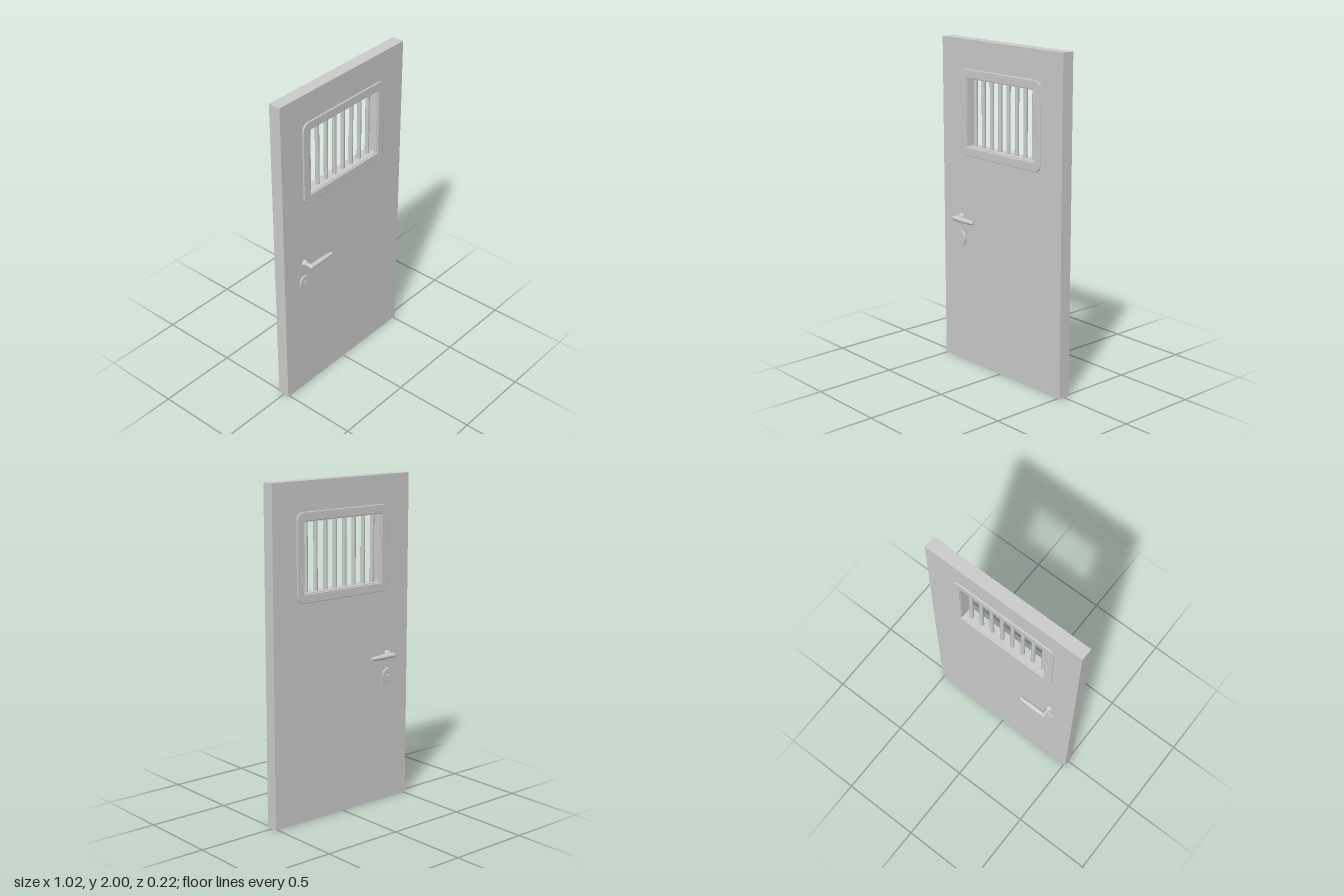
import * as THREE from 'three';

const material = new THREE.MeshStandardMaterial({ color: 0xcccccc });
const FACE = 0.0375; // half thickness of the door
const WINDOW_Y = 1.5675;
const LOCK_X = -0.348;

function add(parent, name, geometry, x = 0, y = 0, z = 0) {
  const mesh = new THREE.Mesh(geometry, material);
  mesh.name = name;
  mesh.position.set(x, y, z);
  parent.add(mesh);
  return mesh;
}

function roundedRect(path, w, h, r) {
  const x = w / 2, y = h / 2;
  path.moveTo(-x + r, -y);
  path.lineTo(x - r, -y).absarc(x - r, -y + r, r, -Math.PI / 2, 0, false);
  path.lineTo(x, y - r).absarc(x - r, y - r, r, 0, Math.PI / 2, false);
  path.lineTo(-x + r, y).absarc(-x + r, y - r, r, Math.PI / 2, Math.PI, false);
  path.lineTo(-x, -y + r).absarc(-x + r, -y + r, r, Math.PI, Math.PI * 1.5, false);
  return path;
}

function rect(path, x0, y0, x1, y1) {
  path.moveTo(x0, y0);
  path.lineTo(x1, y0);
  path.lineTo(x1, y1);
  path.lineTo(x0, y1);
  path.closePath();
  return path;
}

const lathe = (points) =>
  new THREE.LatheGeometry(points.map(([r, y]) => new THREE.Vector2(r, y)), 24);

// Door leaf with the window cut through it
function doorLeaf() {
  const shape = rect(new THREE.Shape(), -0.512, 0, 0.512, 2);
  shape.holes.push(rect(new THREE.Path(), -0.288, 1.365, 0.288, 1.77));
  return new THREE.ExtrudeGeometry(shape, { depth: FACE * 2, bevelEnabled: false })
    .translate(0, 0, -FACE);
}

// Raised rounded trim around the window
function windowTrim() {
  const shape = roundedRect(new THREE.Shape(), 0.678, 0.512, 0.042);
  shape.holes.push(roundedRect(new THREE.Path(), 0.592, 0.421, 0.008));
  return new THREE.ExtrudeGeometry(shape, {
    depth: 0.004, bevelThickness: 0.0035, bevelSize: 0.004, bevelSegments: 2, curveSegments: 8,
  });
}

// Oval keyhole cover with a keyhole opening
function keyholeCover() {
  const shape = new THREE.Shape().absellipse(0, 0, 0.037, 0.043, 0, Math.PI * 2);
  const hole = new THREE.Path();
  hole.moveTo(-0.003, -0.02);
  hole.lineTo(0.003, -0.02);
  hole.lineTo(0.004, 0.002);
  hole.absarc(0, 0.007, 0.0075, -0.9, Math.PI + 0.9, false);
  hole.lineTo(-0.003, -0.02);
  shape.holes.push(hole);
  return new THREE.ExtrudeGeometry(shape, {
    depth: 0.005, bevelThickness: 0.003, bevelSize: 0.003, bevelSegments: 3, curveSegments: 16,
  });
}

// Lever handle, its origin on the door face and its grip along +x
function leverHandle(name) {
  const group = new THREE.Group();
  group.name = name;
  add(group, 'handleCollar', lathe([
    [0, 0], [0.023, 0], [0.023, 0.005], [0.018, 0.009], [0.018, 0.018], [0.015, 0.021], [0, 0.021],
  ])).rotation.x = Math.PI / 2;
  add(group, 'handleStem', lathe([
    [0.011, 0.015], [0.012, 0.04], [0.014, 0.058], [0.0135, 0.066], [0.010, 0.071], [0, 0.0725],
  ])).rotation.x = Math.PI / 2;
  // the profile runs down -y so that turning it by +90 degrees points it along +x
  const grip = lathe([
    [0, 0.174], [0.0085, 0.174], [0.0105, 0.172], [0.013, 0.14], [0.0155, 0.09], [0.0155, 0.06],
    [0.0145, 0.03], [0.0135, 0.005], [0.010, -0.009], [0, -0.015],
  ].map(([r, y]) => [r, -y]));
  add(group, 'handleGrip', grip, 0, 0, 0.057).rotation.z = Math.PI / 2;
  return group;
}

export function createModel() {
  const door = new THREE.Group();
  door.name = 'barredDoor';
  add(door, 'doorLeaf', doorLeaf());

  // Window bars
  const bar = new THREE.CylinderGeometry(0.0125, 0.0125, 0.405, 16);
  for (let i = 0; i < 8; i++) add(door, 'windowBar', bar, -0.256 + i * 0.072, WINDOW_Y, 0);

  // Fittings repeated on both faces
  const trim = windowTrim(), cover = keyholeCover();
  for (const side of [1, -1]) {
    const label = side > 0 ? 'front' : 'back';
    const turn = side > 0 ? 0 : Math.PI;
    const z = side * FACE;
    add(door, label + 'WindowTrim', trim, 0, WINDOW_Y, z).rotation.y = turn;
    add(door, label + 'LockPlate', new THREE.BoxGeometry(0.092, 0.287, 0.002), -0.35, 0.853, z);
    add(door, label + 'KeyholeCover', cover, -0.35, 0.785, z).rotation.y = turn;

    const handle = leverHandle(label + 'Handle');
    handle.position.set(LOCK_X, 0.92, z);
    handle.rotation.x = turn;
    door.add(handle);
  }

  // Small latch pin standing out of the back keyhole
  add(door, 'latchPin', new THREE.CylinderGeometry(0.007, 0.007, 0.016, 16), -0.35, 0.785, -0.047)
    .rotation.x = Math.PI / 2;

  return door;
}
